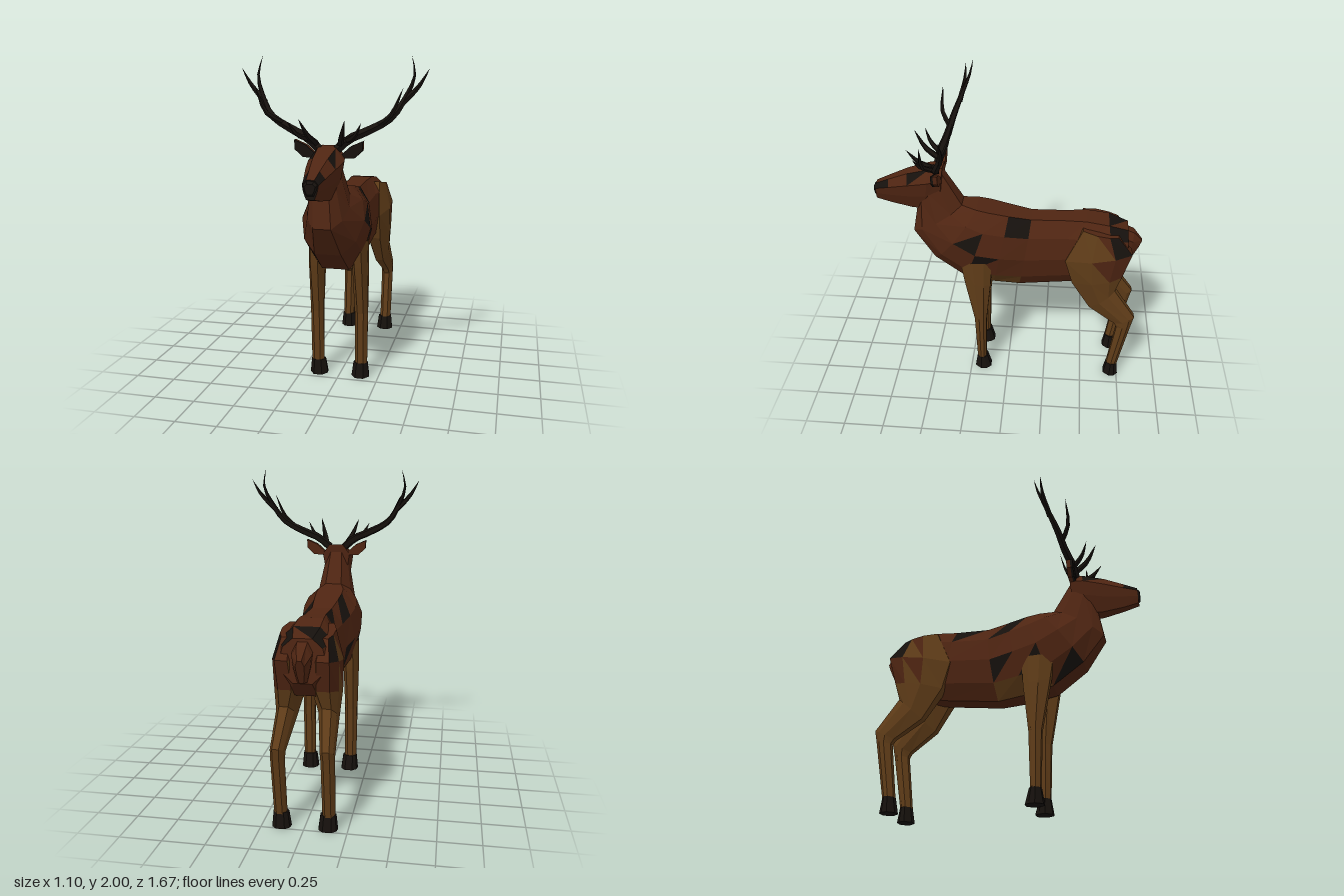
import * as THREE from 'three';

const mat = (color) => new THREE.MeshStandardMaterial({ color, flatShading: true, side: THREE.DoubleSide });

// Half outlines of a cross-section: [fraction from first edge to second, share of half width]
const BODY = [[0, 0.42], [0.2, 0.85], [0.5, 1], [0.8, 0.82], [1, 0.42]];
const HEAD = [[0, 0.5], [0.25, 1], [0.6, 0.85], [1, 0.5]];
const LEG = [[0, 0.45], [0.25, 0.9], [0.6, 1], [1, 0.45]];

// Ring = [z, y of first edge, z, y of second edge, half width, centre x].
// paint maps 'segment:facet' or 'segment:facet:triangle' to a material name.
function loft(name, rings, outline, mats, base, paint = {}, side = 1) {
  const n = outline.length * 2;
  const pts = rings.map(([z0, y0, z1, y1, w, cx = 0]) => {
    const half = (s, list) => list.map(([t, k]) =>
      new THREE.Vector3(cx * side + s * k * w, y0 + (y1 - y0) * t, z0 + (z1 - z0) * t));
    return [...half(1, outline), ...half(-1, [...outline].reverse())];
  });
  const faces = {};
  const add = (key, ...v) => (faces[key] ??= []).push(...v);
  for (let i = 0; i < pts.length - 1; i++) {
    for (let j = 0; j < n; j++) {
      const a = pts[i][j], b = pts[i][(j + 1) % n];
      const c = pts[i + 1][j], d = pts[i + 1][(j + 1) % n];
      const q = side > 0 ? j : (2 * n - 2 - j) % n;
      const pick = (k) => paint[`${i}:${q}:${k}`] ?? paint[`${i}:${q}`] ?? base;
      add(pick(0), a, b, c);
      add(pick(1), b, d, c);
    }
  }
  const last = pts[pts.length - 1];
  for (let j = 1; j < n - 1; j++) {
    add(paint.start ?? base, pts[0][0], pts[0][j + 1], pts[0][j]);
    add(paint.end ?? base, last[0], last[j], last[j + 1]);
  }
  const group = new THREE.Group();
  group.name = name;
  for (const [key, v] of Object.entries(faces)) {
    const g = new THREE.BufferGeometry().setFromPoints(v);
    g.computeVertexNormals();
    const mesh = new THREE.Mesh(g, mats[key]);
    mesh.name = key === base ? name : `${name} ${key} patches`;
    group.add(mesh);
  }
  return group;
}

// Tapered, pointed branch along a curve
function branch(name, points, radius, material) {
  const curve = new THREE.CatmullRomCurve3(points.map((p) => new THREE.Vector3(...p)));
  const seg = points.length * 2 - 1, sides = 5;
  const g = new THREE.TubeGeometry(curve, seg, 1, sides);
  const pos = g.attributes.position, v = new THREE.Vector3();
  for (let i = 0; i < pos.count; i++) {
    const t = Math.floor(i / (sides + 1)) / seg;
    const c = curve.getPointAt(t);
    v.fromBufferAttribute(pos, i).sub(c).multiplyScalar(radius * (1 - t * t)).add(c);
    pos.setXYZ(i, v.x, v.y, v.z);
  }
  g.computeVertexNormals();
  const mesh = new THREE.Mesh(g, material);
  mesh.name = name;
  return mesh;
}

export function createModel() {
  const model = new THREE.Group();
  model.name = 'stag';
  const mats = { coat: mat(0x4f2512), tan: mat(0x5f3c18), dark: mat(0x16110d) };

  // Neck and torso, from the throat back to the rump
  model.add(loft('torso', [
    [0.41, 1.46, 0.57, 1.22, 0.085],
    [0.29, 1.25, 0.60, 1.05, 0.125],
    [0.20, 1.235, 0.47, 0.87, 0.19],
    [0.12, 1.22, 0.28, 0.73, 0.2],
    [0.00, 1.195, 0.10, 0.69, 0.18],
    [-0.14, 1.17, -0.07, 0.67, 0.148],
    [-0.35, 1.175, -0.42, 0.71, 0.145],
    [-0.48, 1.18, -0.55, 0.74, 0.17],
    [-0.62, 1.16, -0.68, 0.78, 0.18],
    [-0.74, 1.12, -0.75, 0.87, 0.13],
  ], BODY, mats, 'coat', {
    '3:3': 'tan', '4:3': 'tan', '3:5': 'tan', '4:5': 'tan',
    '3:6:0': 'dark', '4:6:1': 'dark', '3:8:1': 'dark', '4:8:0': 'dark',
    '2:1:1': 'dark', '3:2:0': 'dark', '4:0': 'dark', '2:5:0': 'dark',
    '5:8:1': 'dark', '8:0': 'dark', '8:8': 'dark', '8:9:0': 'dark',
  }));

  // Tail
  model.add(loft('tail', [
    [-0.70, 1.12, -0.70, 0.90, 0.06],
    [-0.78, 1.085, -0.755, 0.88, 0.055],
    [-0.835, 1.02, -0.775, 0.88, 0.025],
  ], HEAD, mats, 'coat'));

  // Head, from the nose back to the nape
  model.add(loft('head', [
    [0.82, 1.365, 0.825, 1.26, 0.045],
    [0.74, 1.40, 0.73, 1.237, 0.06],
    [0.62, 1.45, 0.60, 1.215, 0.085],
    [0.48, 1.49, 0.52, 1.215, 0.105],
    [0.40, 1.50, 0.42, 1.25, 0.09],
  ], HEAD, mats, 'coat', {
    start: 'dark', '0:0': 'dark', '0:6': 'dark', '2:0:0': 'dark', '2:6:1': 'dark',
  }));
  const nose = loft('nose', [
    [0.835, 1.345, 0.835, 1.29, 0.03], [0.815, 1.365, 0.815, 1.27, 0.045],
  ], HEAD, mats, 'dark');
  model.add(nose);

  for (const s of [1, -1]) {
    const label = s > 0 ? 'left' : 'right';

    // Front leg
    model.add(loft(`${label} front leg`, [
      [0.10, 0.90, 0.30, 0.90, 0.05, 0.135],
      [0.11, 0.72, 0.275, 0.74, 0.05, 0.138],
      [0.14, 0.43, 0.218, 0.43, 0.042, 0.142],
      [0.147, 0.08, 0.205, 0.08, 0.04, 0.14],
    ], LEG, mats, 'tan', {}, s));
    model.add(loft(`${label} front hoof`, [
      [0.14, 0.095, 0.207, 0.095, 0.046, 0.137],
      [0.115, 0, 0.222, 0, 0.057, 0.135],
    ], LEG, mats, 'dark', {}, s));

    // Hind leg: haunch, hock and shank
    model.add(loft(`${label} hind leg`, [
      [-0.68, 1.11, -0.46, 1.15, 0.045, 0.11],
      [-0.77, 1.00, -0.36, 0.93, 0.08, 0.115],
      [-0.72, 0.82, -0.41, 0.76, 0.085, 0.107],
      [-0.685, 0.71, -0.53, 0.57, 0.058, 0.122],
      [-0.825, 0.51, -0.70, 0.45, 0.042, 0.14],
      [-0.81, 0.44, -0.718, 0.42, 0.04, 0.142],
      [-0.745, 0.08, -0.675, 0.08, 0.038, 0.14],
    ], LEG, mats, 'tan', {
      '0:0': 'dark', '0:1:0': 'coat', '0:7': 'coat', '1:0': 'coat', '1:7': 'coat',
      '1:1:0': 'coat', '0:4': 'coat', '0:5': 'coat', '0:6': 'coat', start: 'coat',
    }, s));
    model.add(loft(`${label} hind hoof`, [
      [-0.745, 0.095, -0.677, 0.095, 0.046, 0.137],
      [-0.757, 0, -0.66, 0, 0.057, 0.135],
    ], LEG, mats, 'dark', {}, s));

    // Ear: dark inside, coat-coloured back
    const outline = [[0.08, 1.455], [0.13, 1.50], [0.2, 1.53], [0.197, 1.475], [0.15, 1.432], [0.09, 1.43]];
    const shape = new THREE.Shape(outline.map(([x, y]) => new THREE.Vector2(x * s, y)));
    for (const [key, z, depth] of [['dark', 0.43, 0.015], ['coat', 0.405, 0.025]]) {
      const g = new THREE.ExtrudeGeometry(shape, { depth, bevelEnabled: false });
      const ear = new THREE.Mesh(g.translate(0, 0, z), mats[key]);
      ear.name = `${label} ear ${key === 'dark' ? 'inside' : 'back'}`;
      model.add(ear);
    }

    // Antler: main beam and tines
    const antler = new THREE.Group();
    antler.name = `${label} antler`;
    const parts = [
      ['beam', 0.027, [[0.05, 1.48, 0.44], [0.12, 1.54, 0.43], [0.22, 1.585, 0.405], [0.35, 1.66, 0.38],
        [0.42, 1.77, 0.335], [0.462, 1.89, 0.285], [0.44, 2.0, 0.258]]],
      ['outer tine', 0.018, [[0.40, 1.735, 0.345], [0.495, 1.835, 0.322], [0.55, 1.93, 0.32]]],
      ['middle tine', 0.016, [[0.28, 1.62, 0.395], [0.36, 1.68, 0.45], [0.425, 1.83, 0.45]]],
      ['brow tine', 0.02, [[0.07, 1.51, 0.44], [0.095, 1.56, 0.52], [0.13, 1.66, 0.59]]],
      ['second tine', 0.018, [[0.10, 1.53, 0.43], [0.165, 1.565, 0.50], [0.21, 1.64, 0.54]]],
    ];
    for (const [name, r, p] of parts)
      antler.add(branch(name, p.map(([x, y, z]) => [x * s, y, z]), r, mats.dark));
    model.add(antler);
  }
  return model;
}
